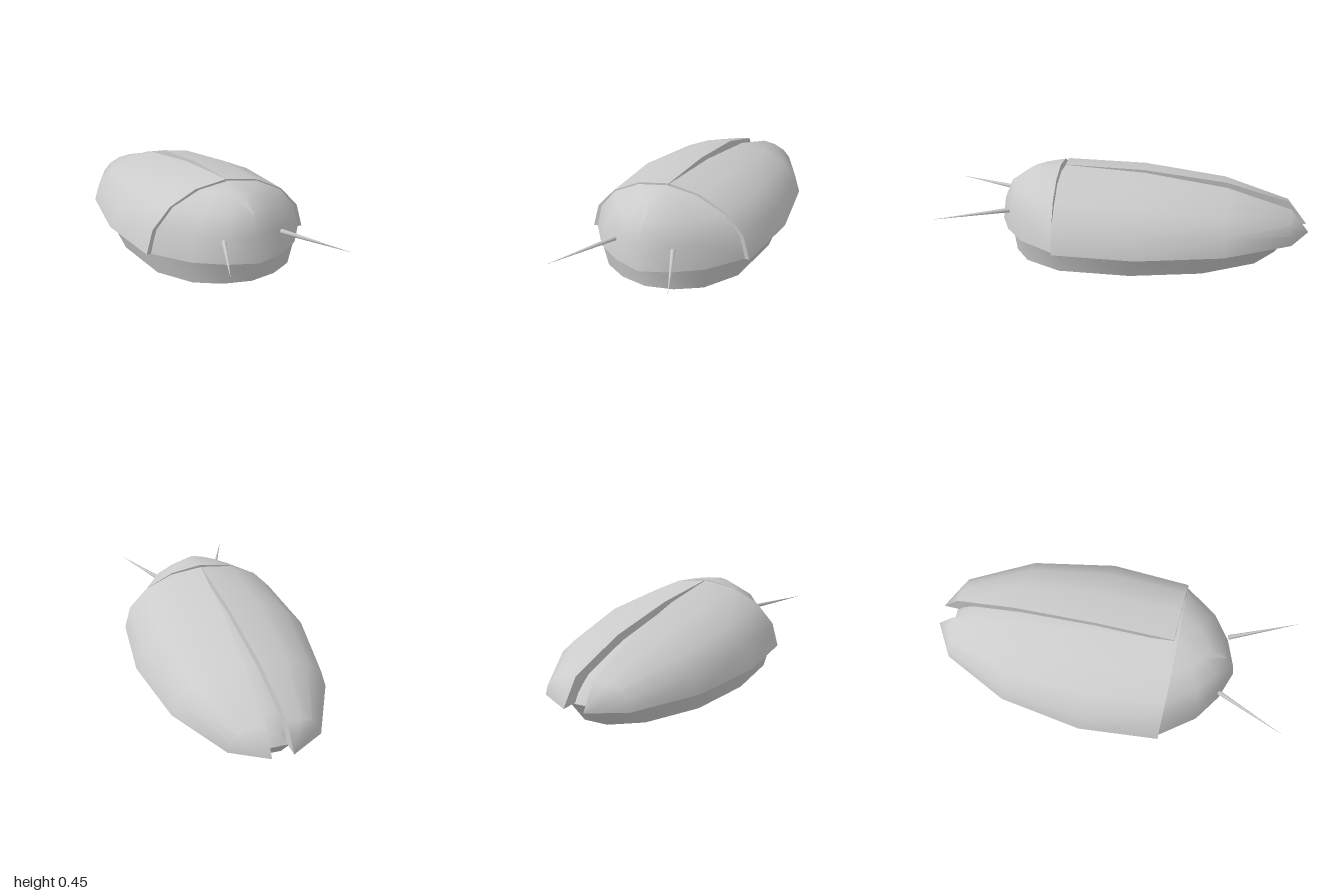
import * as THREE from 'three';
import { toCreasedNormals } from 'three/addons/utils/BufferGeometryUtils.js';

const material = new THREE.MeshStandardMaterial({ color: 0xcccccc });
const RIM = 0.122; // height of the seam between underside and shell

// Skin a list of closed rings; each ring runs counterclockwise seen from the first ring's outside.
function loft(rings, crease = 0.8) {
  const pos = [];
  const tri = (a, b, c) => {
    const area = b.clone().sub(a).cross(c.clone().sub(a)).length();
    if (area > 1e-7) pos.push(...a.toArray(), ...b.toArray(), ...c.toArray());
  };
  const n = rings[0].length;
  for (let i = 0; i < rings.length - 1; i++) {
    for (let j = 0; j < n; j++) {
      const k = (j + 1) % n;
      const [a, b, c, d] = [rings[i][j], rings[i][k], rings[i + 1][k], rings[i + 1][j]];
      tri(a, d, c);
      tri(a, c, b);
    }
  }
  const last = rings[rings.length - 1];
  for (let j = 1; j < n - 1; j++) {
    tri(rings[0][0], rings[0][j], rings[0][j + 1]);
    tri(last[0], last[j + 1], last[j]);
  }
  const geometry = new THREE.BufferGeometry();
  geometry.setAttribute('position', new THREE.Float32BufferAttribute(pos, 3));
  return toCreasedNormals(geometry, crease);
}

function part(name, geometry) {
  const mesh = new THREE.Mesh(geometry, material);
  mesh.name = name;
  return mesh;
}

const V = (x, y, z) => new THREE.Vector3(x, y, z);

// Tapered underside: mirrored outline, wide at the rim and narrower on the ground
function underside() {
  const half = [[0.16, 0.585], [0.3, 0.5], [0.42, 0.3], [0.45, -0.1], [0.385, -0.5], [0.23, -0.8], [0.07, -0.92]];
  const outline = [[0, 0.62], ...half, ...half.map(([x, z]) => [-x, z]).reverse()];
  const top = outline.map(([x, z]) => V(x, RIM, z));
  const bottom = outline.map(([x, z]) => V(x * 0.91, 0, z * 0.925 + 0.03));
  return loft([top, bottom]);
}

// Domed abdomen seen through the slit between the wing cases
function abdomen() {
  const sections = [[0.35, 0.4, 0.29], [-0.1, 0.42, 0.268], [-0.52, 0.34, 0.2], [-0.8, 0.19, 0.115], [-0.89, 0.07, 0.055], [-0.92, 0.06, 0]];
  return loft(sections.map(([z, w, h]) => {
    const ring = [];
    for (let i = 0; i <= 8; i++) {
      const t = (i / 8) * Math.PI;
      ring.push(V(w * Math.cos(t), RIM - 0.002 + h * Math.sin(t), z));
    }
    return ring;
  }));
}

// One wing case: quarter-round sections with a flat inner wall, swung outward at the tail
function wingCase(side) {
  const sections = [[0, 0.45, 0.325], [0.43, 0.467, 0.3], [0.875, 0.375, 0.235], [1.22, 0.185, 0.128], [1.318, 0, 0.002]];
  const rings = sections.map(([d, w, h]) => {
    const ring = [V(0, RIM, -d)];
    for (let i = 0; i <= 4; i++) {
      const t = (i / 4) * Math.PI / 2;
      ring.push(V(w * Math.cos(t), RIM + h * Math.sin(t), -d));
    }
    for (const p of ring) {
      p.applyAxisAngle(V(0, 1, 0), -0.04);
      p.z += 0.318;
      p.x = side * (p.x + 0.002);
    }
    return side > 0 ? ring : ring.reverse();
  });
  return loft(rings);
}

// Head shield: half dome with a flat back
function headShield() {
  const half = [[0.15, 0.285], [0.295, 0.185], [0.43, 0]];
  const outline = [...half.map(([x, z]) => [-x, z]).reverse(), [0, 0.34], ...half];
  // height, width scale, depth scale
  const levels = [[0.325, 0, 0], [0.3, 0.383, 0.5], [0.23, 0.72, 0.8], [0.124, 0.924, 0.94], [0, 1, 1]];
  return loft(levels.map(([y, sx, sz]) =>
    outline.map(([x, z]) => V(x * sx, RIM + y, 0.333 + y * 0.03 + z * sz))));
}

// Thin pointed feeler
function antenna(side) {
  const from = V(side * 0.16, 0.238, 0.605);
  const to = V(side * 0.322, 0.238, 0.98);
  const direction = to.clone().sub(from);
  const geometry = new THREE.ConeGeometry(0.013, direction.length(), 6);
  const mesh = part(side > 0 ? 'leftAntenna' : 'rightAntenna', geometry);
  mesh.position.copy(from).add(to).multiplyScalar(0.5);
  mesh.quaternion.setFromUnitVectors(V(0, 1, 0), direction.normalize());
  return mesh;
}

export function createModel() {
  const model = new THREE.Group();
  model.name = 'beetle';
  model.add(
    part('underside', underside()),
    part('abdomen', abdomen()),
    part('headShield', headShield()),
  );
  for (const side of [1, -1]) {
    model.add(part(side > 0 ? 'leftWingCase' : 'rightWingCase', wingCase(side)), antenna(side));
  }
  return model;
}
